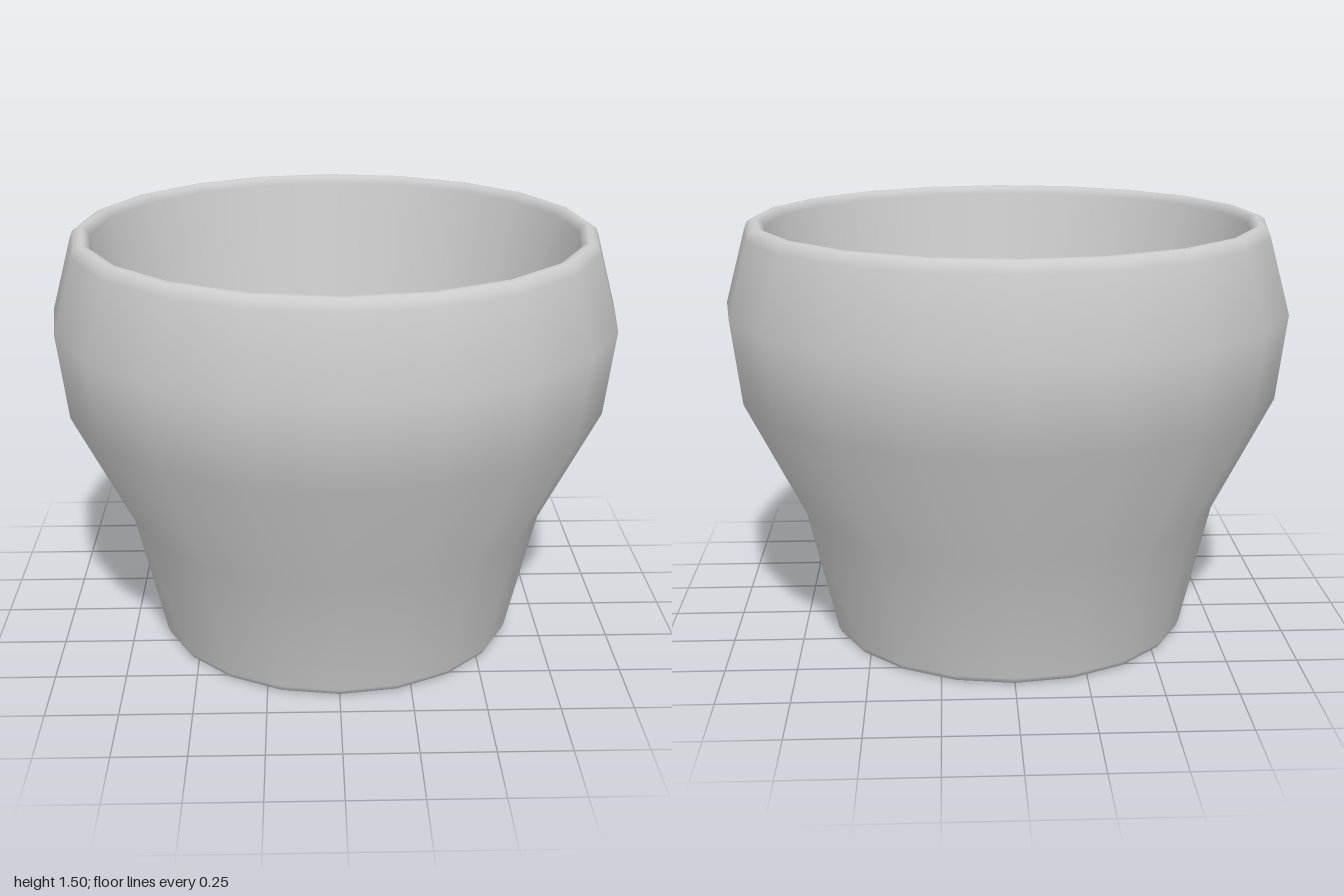
import * as THREE from 'three';

const SIDES = 20;

export function createModel() {
  const group = new THREE.Group();
  group.name = 'cup';
  const material = new THREE.MeshStandardMaterial({ color: 0xcccccc });

  function add(name, geometry) {
    const mesh = new THREE.Mesh(geometry, material);
    mesh.name = name;
    group.add(mesh);
    return mesh;
  }

  // Flat disc at height y, facing up or down
  function addDisc(name, radius, y, facing) {
    const disc = add(name, new THREE.CircleGeometry(radius, SIDES));
    disc.rotation.x = -facing * Math.PI / 2;
    disc.position.y = y;
  }

  // Wall: up the bulging outside, over the rounded rim, down the inside
  const profile = [
    [0.635, 0], [0.647, 0.006], [0.656, 0.025],
    [0.76, 0.48], [0.965, 0.9], [1, 1.2],
    [0.927, 1.46], [0.918, 1.485], [0.9, 1.497], [0.885, 1.5],
    [0.87, 1.494], [0.857, 1.47],
    [0.57, 0.1],
  ].map(([r, y]) => new THREE.Vector2(r, y));
  add('wall', new THREE.LatheGeometry(profile, SIDES));

  // Inner floor and underside
  addDisc('innerFloor', 0.57, 0.1, 1);
  addDisc('underside', 0.635, 0, -1);

  return group;
}
